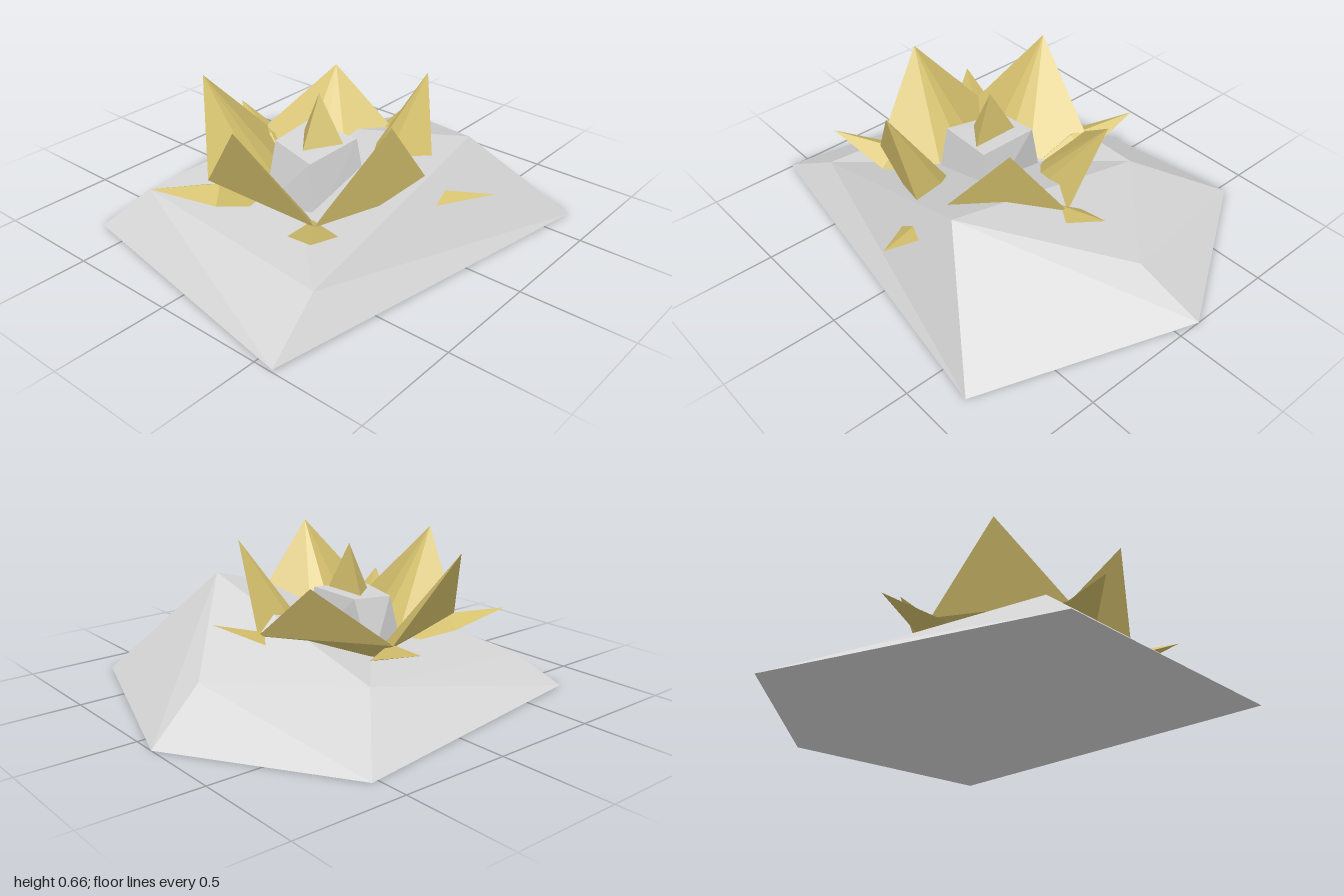
import * as THREE from 'three';
import { ConvexGeometry } from 'three/addons/geometries/ConvexGeometry.js';

const stone = new THREE.MeshStandardMaterial({ color: 0xd6d6d6 });
stone.name = 'paleStone';
const gold = new THREE.MeshStandardMaterial({ color: 0xd3bf6c });
gold.name = 'gold';

const v = (x, y, z) => new THREE.Vector3(x, y, z);
const CX = 0.05, CZ = 0.15; // flower centre

// Faceted convex solid through a few corner points
function solid(name, points, material) {
  const mesh = new THREE.Mesh(new ConvexGeometry(points), material);
  mesh.name = name;
  return mesh;
}

// Point moved towards the flower centre by a factor, at a new height
const inward = (p, k, y) => v(CX + (p.x - CX) * k, y, CZ + (p.z - CZ) * k);

// Irregular five-sided rock with sloping sides and a folded top
function makeRock() {
  const bottom = [[-0.11, 0, -1], [0.85, 0, -0.67], [0.59, 0.012, 1], [-0.66, 0.005, 0.77], [-0.855, 0, -0.53]];
  const top = [[-0.03, 0.19, -0.73], [0.56, 0.455, -0.25], [0.53, 0.165, 0.71], [-0.53, 0.165, 0.6], [-0.5, 0.188, -0.23]];
  const pos = [];
  const tri = (a, b, c) => pos.push(...a, ...b, ...c);
  for (let i = 0; i < 5; i++) {
    const j = (i + 1) % 5;
    tri(bottom[i], top[i], top[j]);
    tri(bottom[i], top[j], bottom[j]);
  }
  const [a, b, c, d, e] = top;
  tri(a, e, b);
  tri(e, c, b);
  tri(e, d, c);
  for (let i = 1; i < 4; i++) tri(bottom[0], bottom[i], bottom[i + 1]);
  const geo = new THREE.BufferGeometry();
  geo.setAttribute('position', new THREE.Float32BufferAttribute(pos, 3));
  geo.computeVertexNormals();
  const mesh = new THREE.Mesh(geo, stone);
  mesh.name = 'rock';
  return mesh;
}

// Ring of five upright petals that share their side corners
function makePetals() {
  const group = new THREE.Group();
  group.name = 'petals';
  const tips = [v(0.06, 0.64, 0.64), v(0.51, 0.655, 0.23), v(0.3, 0.66, -0.3), v(-0.235, 0.55, -0.32), v(-0.45, 0.64, 0.32)];
  // corner i lies between tip i and tip i + 1
  const corners = [v(0.37, 0.29, 0.52), v(0.537, 0.29, -0.035), v(0.05, 0.295, -0.38), v(-0.405, 0.29, -0.02), v(-0.22, 0.29, 0.53)];
  tips.forEach((tip, i) => {
    const right = corners[i], left = corners[(i + 4) % 5];
    group.add(solid('petal', [
      tip, right, left,
      inward(right, 0.42, 0.13), inward(left, 0.42, 0.13), inward(tip, 0.27, 0.13),
    ], gold));
  });
  return group;
}

// Low pointed leaves reaching out between the petals
function makeLeaves() {
  const group = new THREE.Group();
  group.name = 'leaves';
  const tips = [v(0.5, 0.345, 0.69), v(0.79, 0.325, -0.1), v(0.055, 0.385, -0.6), v(-0.64, 0.325, -0.09), v(-0.33, 0.3, 0.75)];
  tips.forEach((tip) => {
    const out = v(tip.x - CX, 0, tip.z - CZ).normalize();
    const at = (r, side, y) => v(CX + out.x * r - out.z * side, y, CZ + out.z * r + out.x * side);
    group.add(solid('leaf', [
      tip, at(0.46, 0.1, 0.23), at(0.46, -0.1, 0.23), at(0.42, 0, 0.28), at(0.2, 0, 0.13),
    ], gold));
  });
  return group;
}

export function createModel() {
  const model = new THREE.Group();
  model.name = 'stoneFlower';
  model.add(makeRock(), makePetals(), makeLeaves());

  // Tapered stone block in the middle of the flower
  model.add(solid('centreBlock', [
    v(-0.11, 0.42, 0.02), v(0.17, 0.42, 0.02), v(0.15, 0.4, 0.3), v(-0.11, 0.4, 0.23),
    v(-0.19, 0.12, 0.05), v(0.21, 0.12, -0.01), v(0.19, 0.12, 0.33), v(-0.1, 0.12, 0.32),
  ], stone));

  // Three-sided spike on the block
  model.add(solid('centreSpike', [
    v(-0.07, 0.41, 0.09), v(0.155, 0.41, 0.09), v(0.05, 0.4, 0.235), v(0.045, 0.63, 0.12),
  ], gold));
  return model;
}
